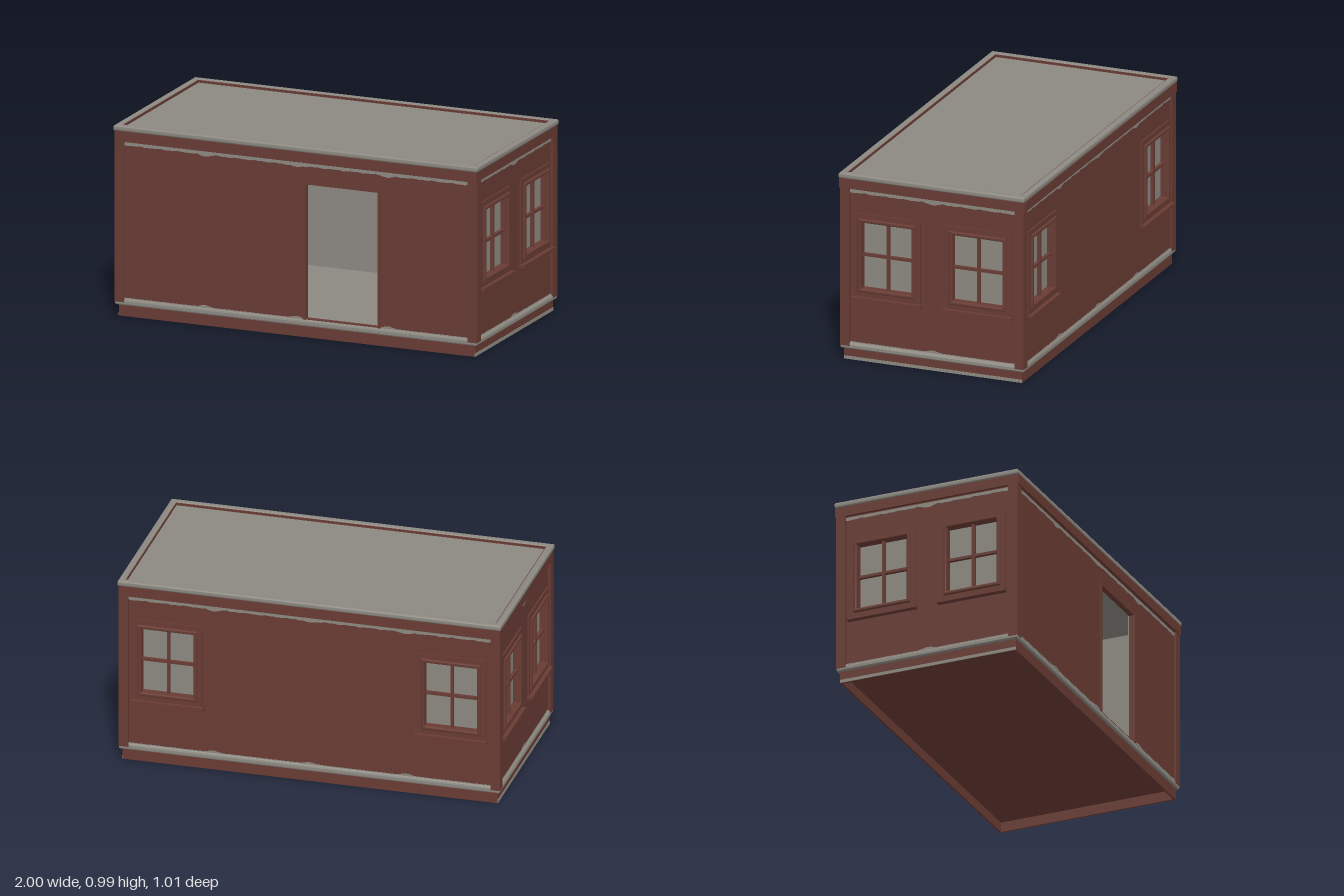
import * as THREE from 'three';
import { toCreasedNormals } from 'three/addons/utils/BufferGeometryUtils.js';
import { ConvexGeometry } from 'three/addons/geometries/ConvexGeometry.js';

const red = new THREE.MeshStandardMaterial({ color: 0x683b33 });
red.name = 'brick red paint';
const grey = new THREE.MeshStandardMaterial({ color: 0x8c8881 });
grey.name = 'weathered grey';

// Half sizes of the wall planes and the small offset of the body in z
const HX = 0.97, HZ = 0.485, Z0 = 0.005;

function add(parent, name, geometry, material, x = 0, y = 0, z = 0) {
  const mesh = new THREE.Mesh(geometry, material);
  mesh.name = name;
  mesh.position.set(x, y, z);
  parent.add(mesh);
  return mesh;
}

// Box given by its limits
function block(parent, name, material, x0, x1, y0, y1, z0, z1) {
  return add(parent, name, new THREE.BoxGeometry(x1 - x0, y1 - y0, z1 - z0), material,
    (x0 + x1) / 2, (y0 + y1) / 2, (z0 + z1) / 2);
}

function rect(x0, x1, y0, y1, Type = THREE.Shape) {
  return new Type([[x0, y0], [x1, y0], [x1, y1], [x0, y1]].map(p => new THREE.Vector2(...p)));
}

// Plate with rectangular openings, from local z = 0 to depth, optionally with rounded edges
function plate(outer, holes, depth, bevel = 0) {
  const shape = rect(...outer);
  holes.forEach(h => shape.holes.push(rect(...h, THREE.Path)));
  const geometry = new THREE.ExtrudeGeometry(shape, {
    depth: depth - 2 * bevel, bevelEnabled: bevel > 0, bevelThickness: bevel,
    bevelSize: bevel, bevelOffset: -bevel, bevelSegments: 4,
  });
  geometry.translate(0, 0, bevel);
  return toCreasedNormals(geometry, 0.7);
}

// Worn paint strip with one straight edge and one ragged edge
function wornStrip(parent, x0, x1, y, height, bumpHeight, bumps) {
  const pts = [new THREE.Vector2(x1, y), new THREE.Vector2(x0, y)];
  const n = Math.ceil((x1 - x0) * 45);
  for (let i = 0; i <= n; i++) {
    const x = x0 + (x1 - x0) * i / n;
    let h = height * (1 + 0.1 * Math.sin(i * 2.7) + 0.1 * Math.sin(i * 1.3));
    bumps.forEach(b => { h += bumpHeight * Math.max(0, 1 - Math.abs(x - b) / 0.045); });
    pts.push(new THREE.Vector2(x, y + h));
  }
  const geometry = new THREE.ExtrudeGeometry(new THREE.Shape(pts), { depth: 0.002, bevelEnabled: false });
  add(parent, 'wornPaintStrip', geometry, grey);
}

// Casing, rounded moulding, glazing bars and sill, centred on x
function addWindow(parent, cx) {
  const w = new THREE.Group();
  w.name = 'window';
  w.position.x = cx;
  const opening = [-0.135, 0.135, 0.387, 0.735];
  add(w, 'windowCasing', plate([-0.18, 0.18, 0.342, 0.78], [opening], 0.008), red);
  add(w, 'windowMoulding', plate([-0.155, 0.155, 0.367, 0.755], [opening], 0.02, 0.009), red);
  block(w, 'verticalBar', red, -0.007, 0.007, 0.385, 0.737, -0.02, -0.002);
  block(w, 'horizontalBar', red, -0.137, 0.137, 0.555, 0.569, -0.02, -0.002);
  block(w, 'sill', red, -0.187, 0.187, 0.325, 0.342, -0.005, 0.03);
  parent.add(w);
}

// One wall, outer face on local z = 0, facing local +z
function addWall(parent, name, half, x, z, turn, windows, door, bumps) {
  const g = new THREE.Group();
  g.name = name;
  g.position.set(x, 0, z);
  g.rotation.y = turn;
  const doorHole = door ? [[0.05, 0.445, 0.098, 0.79]] : [];
  const holes = windows.map(c => [c - 0.135, c + 0.135, 0.387, 0.735]).concat(doorHole);
  add(g, 'wallPanel', plate([-half, half, 0.062, 0.95], holes, 0.025), red, 0, 0, -0.025);
  // Lining closes the window openings as panes
  add(g, 'innerLining', plate([-half + 0.02, half - 0.02, 0.08, 0.95], doorHole, 0.005), grey, 0, 0, -0.03);
  block(g, 'frieze', red, -half - 0.015, half + 0.015, 0.905, 0.957, -0.025, 0.015);
  windows.forEach(c => addWindow(g, c));
  const end = half - 0.035;
  wornStrip(g, -end, end, 0.899, -0.016, -0.011, bumps);
  // Low strips, split around the doorway
  const spans = door ? [[-end, 0.036], [0.459, end]] : [[-end, end]];
  spans.forEach(([a, b]) => wornStrip(g, a, b, 0.093, 0.004, 0.011, bumps));
  if (door) {
    for (const c of [0.043, 0.452])
      block(g, 'doorJamb', red, c - 0.008, c + 0.008, 0.093, 0.8, -0.02, 0.007);
    block(g, 'doorHead', red, 0.051, 0.444, 0.79, 0.8, -0.02, 0.002);
  }
  parent.add(g);
}

// Solid stack of centred rectangles: [y, halfX, halfZ]
function stack(levels) {
  const pts = [];
  for (const [y, hx, hz] of levels)
    for (const sx of [-1, 1]) for (const sz of [-1, 1]) pts.push(new THREE.Vector3(sx * hx, y, sz * hz));
  return new ConvexGeometry(pts);
}

export function createModel() {
  const model = new THREE.Group();
  model.name = 'cabin';
  const body = new THREE.Group();
  body.name = 'body';
  body.position.z = Z0;
  model.add(body);

  // Hollow plinth ring with the floor's underside recessed in it
  const ring = plate([-0.968, 0.968, -0.48, 0.48], [[-0.958, 0.958, -0.47, 0.47]], 0.062);
  ring.rotateX(-Math.PI / 2);
  add(body, 'plinth', ring, red);
  block(body, 'floorUnderside', red, -0.959, 0.959, 0.052, 0.062, -0.471, 0.471);
  for (const s of [-1, 1])
    block(body, 'plinthEndStrip', grey, s * 0.969 - 0.002, s * 0.969 + 0.002, 0.001, 0.017, -0.48, 0.48);

  // Sloped ledge, whose top is also the floor
  add(body, 'ledgeAndFloor', stack([[0.06, 0.978, 0.49], [0.066, 0.983, 0.493], [0.08, 0.983, 0.493],
    [0.088, 0.978, 0.49], [0.095, 0.968, 0.483]]), grey);

  // Walls
  addWall(body, 'frontWall', HX, 0, HZ, 0, [], true, [-0.5, 0, 0.5]);
  addWall(body, 'backWall', HX, 0, -HZ, Math.PI, [-0.732, 0.732], false, [-0.5, 0, 0.5]);
  addWall(body, 'leftWall', HZ, HX, 0, Math.PI / 2, [-0.245, 0.245], false, [0]);
  addWall(body, 'rightWall', HZ, -HX, 0, -Math.PI / 2, [-0.245, 0.245], false, [0]);

  // Corner posts
  for (const sx of [-1, 1]) for (const sz of [-1, 1])
    add(body, 'cornerPost', new THREE.BoxGeometry(0.05, 0.83, 0.05), red, sx * 0.96, 0.49, sz * 0.47);

  // Roof deck sunk inside a rounded rim with red inner faces
  block(body, 'roofDeck', grey, -0.96, 0.96, 0.94, 0.967, -0.47, 0.47);
  const rim = plate([-0.99, 0.99, -0.5, 0.5], [[-0.955, 0.955, -0.465, 0.465]], 0.03, 0.009);
  rim.rotateX(-Math.PI / 2);
  add(body, 'roofRim', rim, grey, 0, 0.955, 0);
  for (const s of [-1, 1]) {
    block(body, 'rimInnerFace', red, -0.956, 0.956, 0.966, 0.98, s * 0.465 - 0.002, s * 0.465 + 0.002);
    block(body, 'rimInnerFace', red, s * 0.955 - 0.002, s * 0.955 + 0.002, 0.966, 0.98, -0.465, 0.465);
  }
  return model;
}
